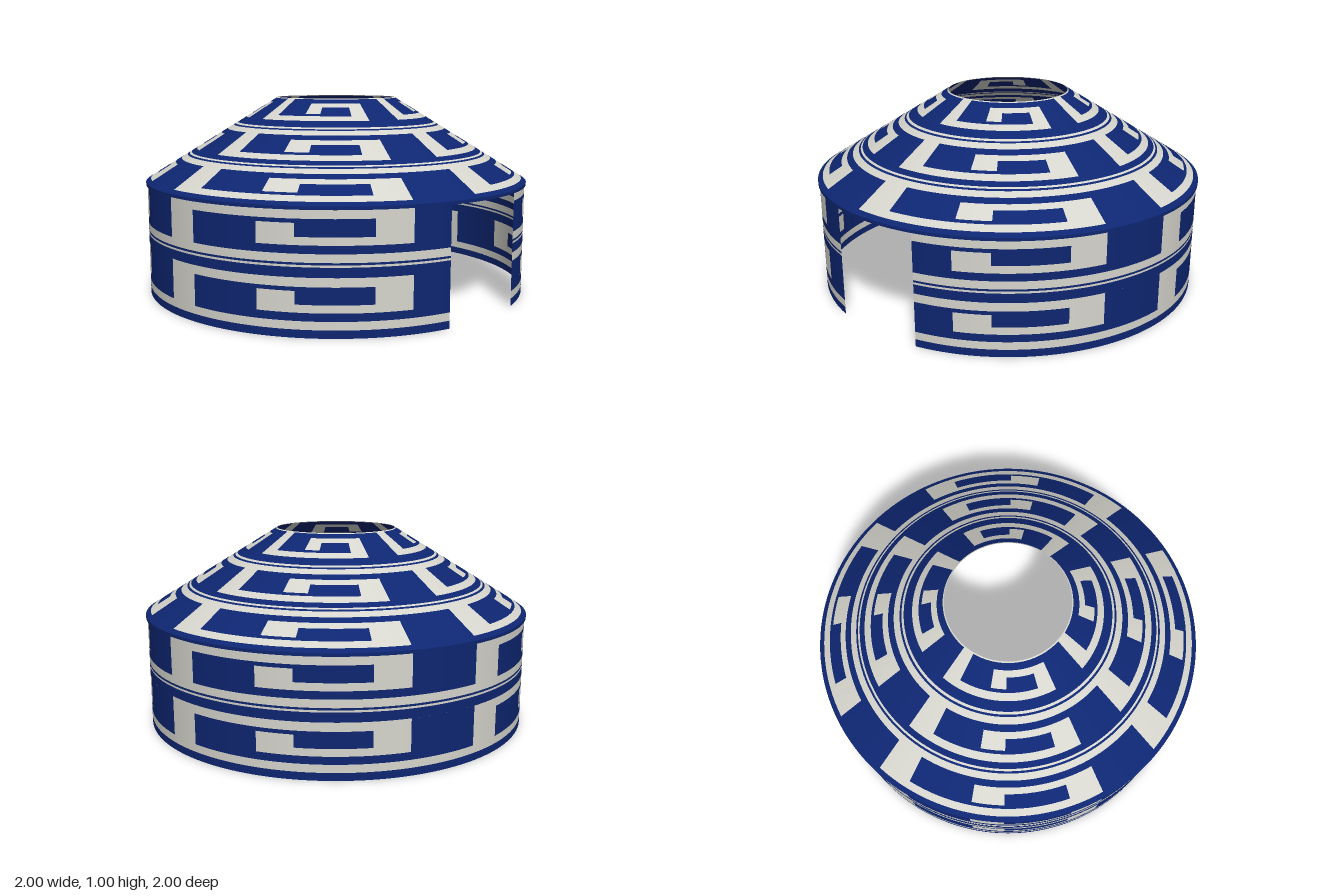
import * as THREE from 'three';
import { mergeGeometries } from 'three/addons/utils/BufferGeometryUtils.js';

const DEG = Math.PI / 180;
const DOOR = 14.2; // half angle of the doorway, degrees from the front

// Meander unit, repeated every 90 degrees: angle range and its white spans (0 = ring side, 1 = strip side)
const RING = [0, 0.165], STRIP = [0.82, 1];
const KEY = [
  [-5, 5, [[0, 1]]],                            // post
  [5, 25, [RING, STRIP]],                       // strip leaving the post
  [25, 35, [RING, [0.325, 0.74], STRIP]],       // hook stub
  [35, 55, [RING, [0.325, 0.48], STRIP]],       // hook run
  [55, 65, [RING, [0.325, 1]]],                 // hook leg
  [65, 85, [RING]],                             // open gap
];

// Wall and roof profiles: parameter -> [radius, height]
const wallPoint = (y) => [0.993, y];
const roofPoint = (r) => [r, 0.575 + (1 - r) * (0.425 / 0.69)];

// Collects ring sectors of two colours on one surface of revolution
function makeSurface(point, start, end) {
  const parts = { white: [], blue: [] };
  const sector = (colour, a0, a1, t0, t1) => {
    a0 = Math.max(a0, start);
    a1 = Math.min(a1, end);
    let lo = point(t0), hi = point(t1);
    if (lo[1] > hi[1]) [lo, hi] = [hi, lo];
    const h = hi[1] - lo[1];
    if (a1 - a0 < 1e-4 || h < 1e-5) return;
    const g = new THREE.CylinderGeometry(hi[0], lo[0], h, Math.ceil((a1 - a0) / 2.5 - 1e-6), 1, true,
      a0 * DEG, (a1 - a0) * DEG);
    g.translate(0, lo[1] + h / 2, 0);
    parts[colour].push(g);
  };
  const band = (colour, t0, t1) => sector(colour, -5, 355, t0, t1);
  const keyRow = (t0, t1) => {
    const at = (v) => t0 + (t1 - t0) * v;
    for (let k = 0; k < 4; k++) {
      for (const [a, b, spans] of KEY) {
        const a0 = a + k * 90, a1 = b + k * 90;
        let v = 0;
        for (const [s, e] of spans) {
          sector('blue', a0, a1, at(v), at(s));
          sector('white', a0, a1, at(s), at(e));
          v = e;
        }
        sector('blue', a0, a1, at(v), at(1));
      }
    }
  };
  return { parts, band, keyRow };
}

export function createModel() {
  const mats = {
    white: new THREE.MeshStandardMaterial({ name: 'offWhite', color: 0xd6d5cd, side: THREE.DoubleSide }),
    blue: new THREE.MeshStandardMaterial({ name: 'deepBlue', color: 0x0e2672, side: THREE.DoubleSide }),
  };
  const model = new THREE.Group();
  model.name = 'roundTentCover';
  const addSurface = (name, surface) => {
    const group = new THREE.Group();
    group.name = name;
    for (const c of ['white', 'blue']) {
      const mesh = new THREE.Mesh(mergeGeometries(surface.parts[c]), mats[c]);
      mesh.name = name + (c === 'white' ? 'Pattern' : 'Ground');
      group.add(mesh);
    }
    model.add(group);
  };

  // Wall with a doorway at the front and two rows of meander
  const wall = makeSurface(wallPoint, DOOR, 360 - DOOR);
  const wallBand = (c, y0, y1) => {
    wall.band(c, y0, y1);
  };
  wallBand('blue', 0, 0.037);
  wall.keyRow(0.037, 0.267);
  wallBand('blue', 0.267, 0.312);
  wallBand('white', 0.312, 0.322);
  wallBand('blue', 0.322, 0.332);
  wall.keyRow(0.332, 0.562);
  wallBand('blue', 0.562, 0.575);
  addSurface('wall', wall);

  // Conical roof with an open crown and three rows, strips towards the eave
  const roof = makeSurface((r) => roofPoint(Math.max(r, 0.31)), -5, 355);
  roof.band('blue', 0.975, 1);
  roof.keyRow(0.785, 0.975);
  roof.band('blue', 0.775, 0.785);
  roof.band('white', 0.765, 0.775);
  roof.band('blue', 0.737, 0.765);
  roof.keyRow(0.542, 0.737);
  roof.band('blue', 0.532, 0.542);
  roof.band('white', 0.52, 0.532);
  roof.band('blue', 0.475, 0.52);
  roof.keyRow(0.285, 0.475);
  addSurface('roof', roof);

  // Narrow skirt hanging from the eave
  const eave = new THREE.Mesh(new THREE.CylinderGeometry(1, 1, 0.015, 144, 1, true), mats.blue);
  eave.name = 'eaveTrim';
  eave.position.y = 0.5675;
  model.add(eave);
  return model;
}
